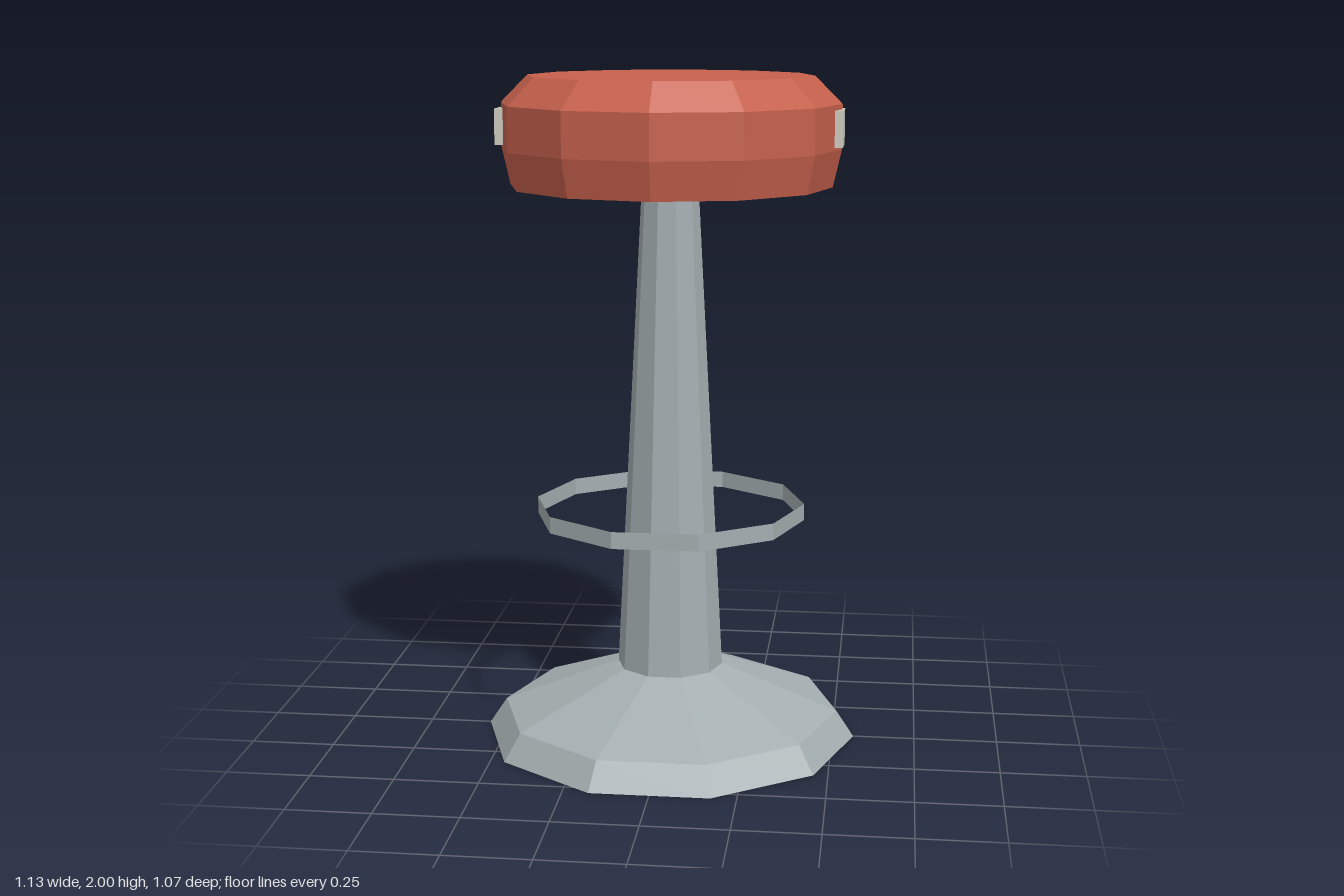
import * as THREE from 'three';

const flat = (name, color, side = THREE.FrontSide) => {
  const m = new THREE.MeshStandardMaterial({ color, flatShading: true, side });
  m.name = name;
  return m;
};

// Faceted solid of revolution, with a corner pointing along x
function turned(name, profile, sides, material) {
  const points = profile.map(([r, y]) => new THREE.Vector2(r, y));
  const geometry = new THREE.LatheGeometry(points, sides).rotateY(Math.PI / 2);
  const mesh = new THREE.Mesh(geometry, material);
  mesh.name = name;
  return mesh;
}

export function createModel() {
  const stool = new THREE.Group();
  stool.name = 'barStool';

  const metal = flat('brushedMetal', 0xa5aeb1);
  const ringMetal = metal.clone();
  ringMetal.side = THREE.DoubleSide;
  const upholstery = flat('redUpholstery', 0xc6604c);
  const plate = flat('paleTag', 0xcfcbc0);

  // Ten-sided foot and tapering column
  stool.add(turned('base', [[0, 0], [0.565, 0], [0.512, 0.08], [0.16, 0.22], [0, 0.22]], 10, metal));
  stool.add(turned('column', [[0.16, 0.215], [0.083, 1.7]], 10, metal));

  // Thin open band as the footrest
  stool.add(turned('footRing', [[0.405, 0.68], [0.405, 0.73]], 10, ringMetal));

  // Twelve-sided cushion with a bevelled top
  stool.add(turned('seat',
    [[0, 1.68], [0.475, 1.68], [0.5, 1.79], [0.5, 1.92], [0.42, 2], [0, 2]], 12, upholstery));

  // Tag on each side of the cushion
  for (const side of [1, -1]) {
    const tag = new THREE.Mesh(new THREE.BoxGeometry(0.024, 0.105, 0.16), plate);
    tag.name = side > 0 ? 'leftTag' : 'rightTag';
    tag.position.set(side * 0.493, 1.852, 0);
    stool.add(tag);
  }
  return stool;
}
